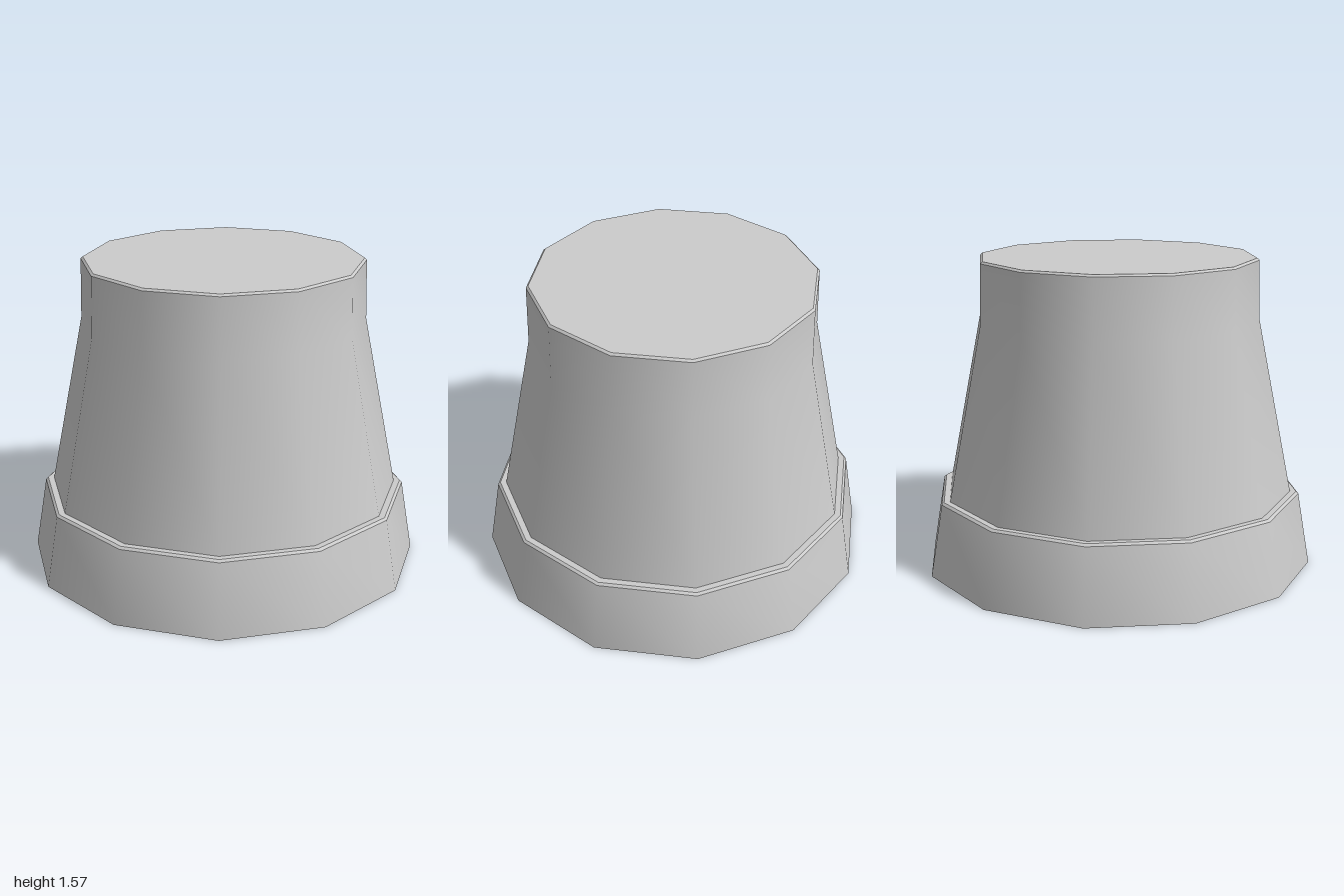
import * as THREE from 'three';
import { toCreasedNormals } from 'three/addons/utils/BufferGeometryUtils.js';

const SIDES = 12;

// Twelve-sided turned shell from [radius, height] points; soft sides, crisp edges.
function turned(name, profile, material) {
  const points = profile.map(([r, y]) => new THREE.Vector2(r, y));
  const geometry = toCreasedNormals(new THREE.LatheGeometry(points, SIDES), 0.6);
  const mesh = new THREE.Mesh(geometry, material);
  mesh.name = name;
  return mesh;
}

export function createModel() {
  const group = new THREE.Group();
  group.name = 'upturnedPot';
  const clay = new THREE.MeshStandardMaterial({ color: 0xcccccc, side: THREE.DoubleSide });

  // Collar around the open mouth: flat lip, sloping band, small bevel and ledge
  group.add(turned('rim', [
    [0.95, 0], [1, 0], [0.936, 0.369], [0.924, 0.38], [0.893, 0.38],
  ], clay));

  // Thin tapered wall, steeper near the base, with a small bevel around the flat base
  group.add(turned('body', [
    [0.893, 0.38], [0.715, 1.26], [0.707, 1.56], [0.696, 1.57], [0, 1.57],
  ], clay));

  return group;
}
